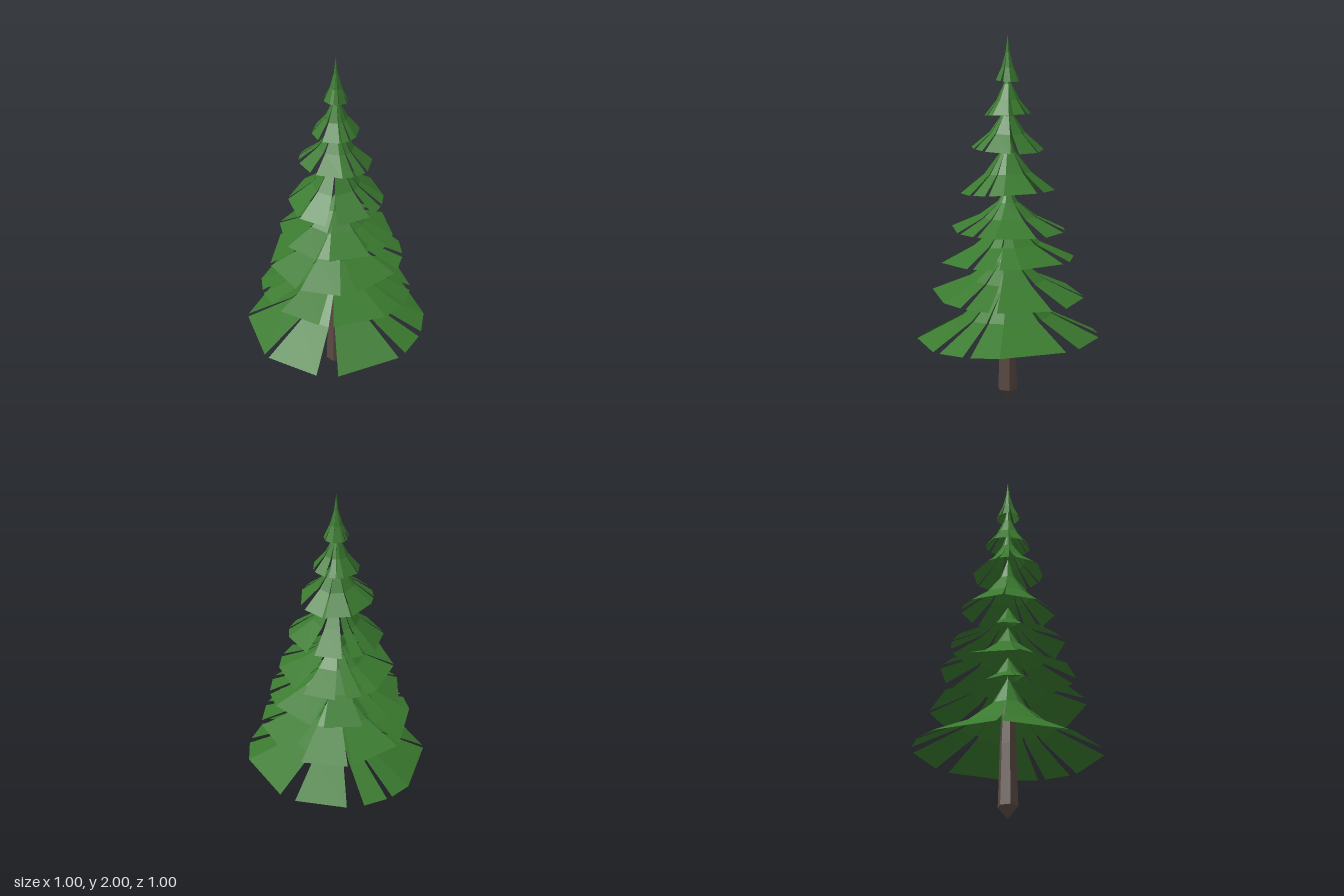
import * as THREE from 'three';

const RAD = Math.PI / 180;

// Rim angles (degrees, from +x towards +z) of the branch fans in one tier
const FANS = [
  [-130, -87, -72], [-68, -52], [-41, -8], [3, 45, 63],
  [68, 86], [92, 134], [147.5, 183], [187, 227],
];

// Drooping profile: radius share, height share, how far the slits have opened
const PROFILE = [[0, 1, 0], [0.18, 0.62, 0], [0.5, 0.3, 0.57], [1, 0, 1]];

// Tiers from bottom to top: rim height, top height, radius, tilt across x, turn, mirrored
const TIERS = [
  [0.357, 0.78, 0.5, 0.022, 0, false],
  [0.603, 0.9, 0.415, -0.02, -220, true],
  [0.795, 1.08, 0.365, 0.015, -16, false],
  [0.962, 1.2, 0.31, -0.008, 8, false],
  [1.165, 1.5, 0.255, 0.018, 0, false],
  [1.4, 1.68, 0.195, -0.014, -190, true],
  [1.58, 1.84, 0.125, 0.008, 35, false],
  [1.76, 2.0, 0.065, -0.005, -150, true],
];

// One tier: a cone skirt cut into fans by slits that widen towards the rim
function tierGeometry([rimY, topY, radius, tilt, turn, mirrored]) {
  let fans = FANS;
  if (mirrored) fans = FANS.map((f) => f.map((a) => -a).reverse()).reverse();
  const positions = [];
  const n = fans.length;

  fans.forEach((fan, i) => {
    const prev = fans[(i + n - 1) % n];
    const next = fans[(i + 1) % n];
    const prevEnd = prev[prev.length - 1] - (i === 0 ? 360 : 0);
    const nextStart = next[0] + (i === n - 1 ? 360 : 0);
    // Closed position of each edge is the middle of its slit
    const closed = fan.slice();
    closed[0] = (fan[0] + prevEnd) / 2;
    closed[fan.length - 1] = (fan[fan.length - 1] + nextStart) / 2;

    const rings = PROFILE.map(([r, h, open]) => fan.map((a, k) => {
      const angle = (closed[k] + (a - closed[k]) * open + turn) * RAD;
      const x = Math.cos(angle) * r;
      return [
        x * radius,
        rimY + (topY - rimY) * h + tilt * x,
        Math.sin(angle) * r * radius,
      ];
    }));

    for (let j = 0; j < rings.length - 1; j++) {
      for (let k = 0; k < fan.length - 1; k++) {
        const u0 = rings[j][k], u1 = rings[j][k + 1];
        const l0 = rings[j + 1][k], l1 = rings[j + 1][k + 1];
        if (j > 0) positions.push(...u0, ...u1, ...l0);
        positions.push(...u1, ...l1, ...l0);
      }
    }
  });

  const geometry = new THREE.BufferGeometry();
  geometry.setAttribute('position', new THREE.Float32BufferAttribute(positions, 3));
  geometry.computeVertexNormals();
  return geometry;
}

export function createModel() {
  const tree = new THREE.Group();
  tree.name = 'pineTree';

  // Six-sided trunk with a pointed foot
  const bark = new THREE.MeshStandardMaterial({ color: 0x594841, flatShading: true });
  const trunkProfile = [[0, 0], [0.055, 0.065], [0.045, 0.4], [0.035, 0.62], [0, 0.8]]
    .map(([r, y]) => new THREE.Vector2(r, y));
  const trunk = new THREE.Mesh(new THREE.LatheGeometry(trunkProfile, 6), bark);
  trunk.name = 'trunk';
  tree.add(trunk);

  // Branch tiers
  const needles = new THREE.MeshStandardMaterial({
    color: 0x3a7a2f, flatShading: true, side: THREE.DoubleSide,
  });
  TIERS.forEach((tier, i) => {
    const mesh = new THREE.Mesh(tierGeometry(tier), needles);
    mesh.name = `branchTier${i + 1}`;
    tree.add(mesh);
  });

  return tree;
}
